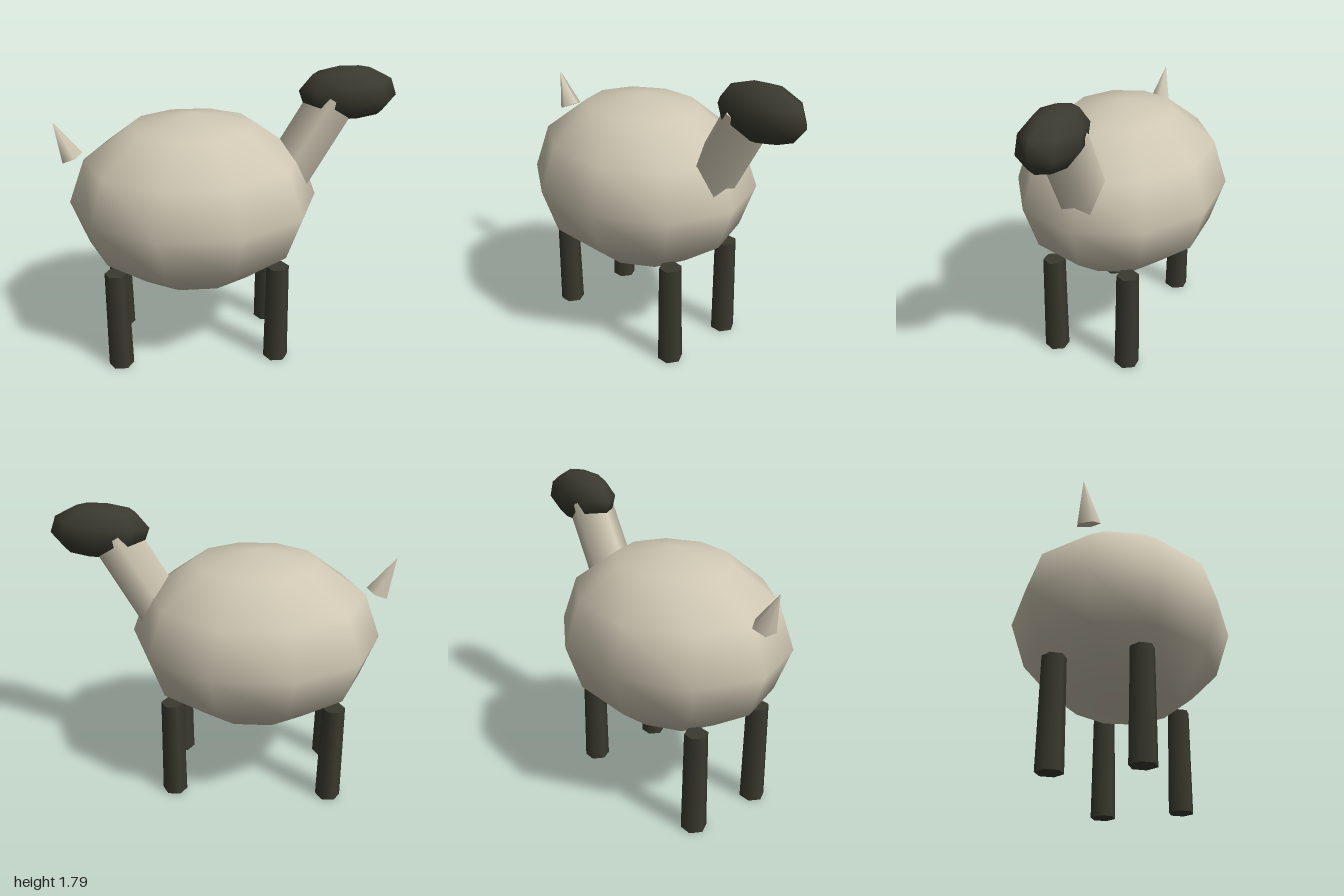
import * as THREE from 'three';

export function createModel() {
  const model = new THREE.Group();
  const wool = new THREE.MeshStandardMaterial({ color: 0xd0c8b4 });
  wool.name = 'cream wool';
  const dark = new THREE.MeshStandardMaterial({ color: 0x3a3a30 });
  dark.name = 'dark charcoal';

  function add(name, geometry, material, x, y, z = 0, tilt = 0) {
    const mesh = new THREE.Mesh(geometry, material);
    mesh.name = name;
    mesh.position.set(x, y, z);
    mesh.rotation.z = tilt;
    model.add(mesh);
    return mesh;
  }

  // Round low-poly body
  add('body', new THREE.SphereGeometry(1, 10, 6).scale(0.74, 0.535, 0.64), wool, -0.2, 1);

  // Head: a faceted ball turned first, then stretched along x
  const head = new THREE.SphereGeometry(1, 8, 5).rotateZ(0.2).scale(0.29, 0.162, 0.158);
  add('head', head, dark, 0.705, 1.63);

  // Five-sided neck leaning forward, its ends sunk into body and head
  const neck = new THREE.CylinderGeometry(0.144, 0.148, 0.6, 5, 1, false, -Math.PI / 2);
  add('neck', neck, wool, 0.475, 1.342, 0, -Math.PI / 6);

  // Five-sided pointed tail
  const tail = new THREE.ConeGeometry(0.07, 0.235, 5, 1, false, Math.PI / 2);
  add('tail', tail, wool, -0.953, 1.392, 0, 0.41);

  // Four six-sided legs, slightly wider at the foot
  const leg = new THREE.CylinderGeometry(0.068, 0.076, 0.635, 6, 1, false, Math.PI / 2);
  for (const [end, x] of [['front', 0.285], ['back', -0.68]]) {
    for (const [side, z] of [['Right', 0.24], ['Left', -0.24]]) {
      add(end + side + 'Leg', leg, dark, x, 0.3175, z);
    }
  }

  return model;
}
